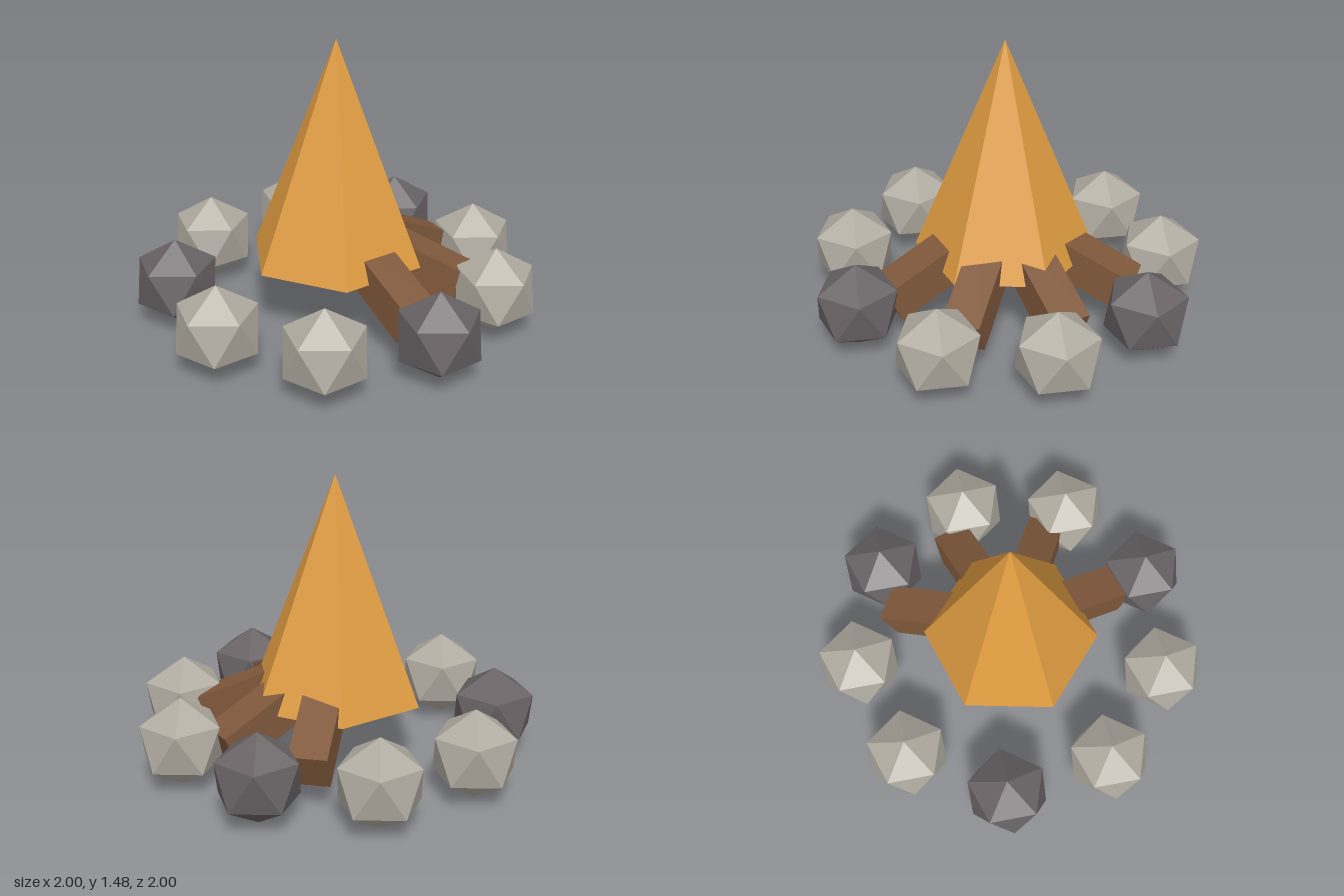
import * as THREE from 'three';

export function createModel() {
  const model = new THREE.Group();
  model.name = 'campfire';
  const material = (name, color) => {
    const m = new THREE.MeshStandardMaterial({ color, flatShading: true });
    m.name = name;
    return m;
  };
  const flameOrange = material('flame orange', 0xdf9c41);
  const logBrown = material('log brown', 0x7f583b);
  const lightStone = material('light stone', 0xb0aba0);
  const darkStone = material('dark stone', 0x686264);

  // The fire's axis sits slightly off the middle of the whole
  const fire = new THREE.Group();
  fire.name = 'fire';
  fire.position.x = -0.025;
  model.add(fire);

  const add = (name, geometry, mat, parent = fire) => {
    const mesh = new THREE.Mesh(geometry, mat);
    mesh.name = name;
    parent.add(mesh);
    return mesh;
  };

  // Six-sided flame
  const flameBase = 0.345, flameTop = 1.478;
  const flameHeight = flameTop - flameBase;
  add('flame', new THREE.ConeGeometry(0.46, flameHeight, 6), flameOrange)
    .position.y = flameBase + flameHeight / 2;

  // Square logs fan out around the back, sloping down and outward
  const logGeometry = new THREE.BoxGeometry(0.6, 0.19, 0.19);
  for (let i = 0; i < 4; i++) {
    const arm = new THREE.Group();
    arm.name = 'logArm';
    arm.rotation.y = (i * Math.PI) / 4;
    fire.add(arm);
    const log = add('log', logGeometry, logBrown, arm);
    log.position.set(0.388, 0.338, 0);
    log.rotation.z = -THREE.MathUtils.degToRad(25);
  }

  // Ring of nine stones standing on a point, every third one dark
  const stoneRadius = 0.228, ringRadius = 0.819;
  const stoneGeometry = new THREE.IcosahedronGeometry(stoneRadius, 0);
  stoneGeometry.rotateZ(-Math.atan(2 / (1 + Math.sqrt(5))));
  for (let i = 0; i < 9; i++) {
    const a = (i * Math.PI * 2) / 9;
    add('stone', stoneGeometry, i % 3 === 0 ? darkStone : lightStone)
      .position.set(ringRadius * Math.cos(a), stoneRadius, ringRadius * Math.sin(a));
  }

  return model;
}
